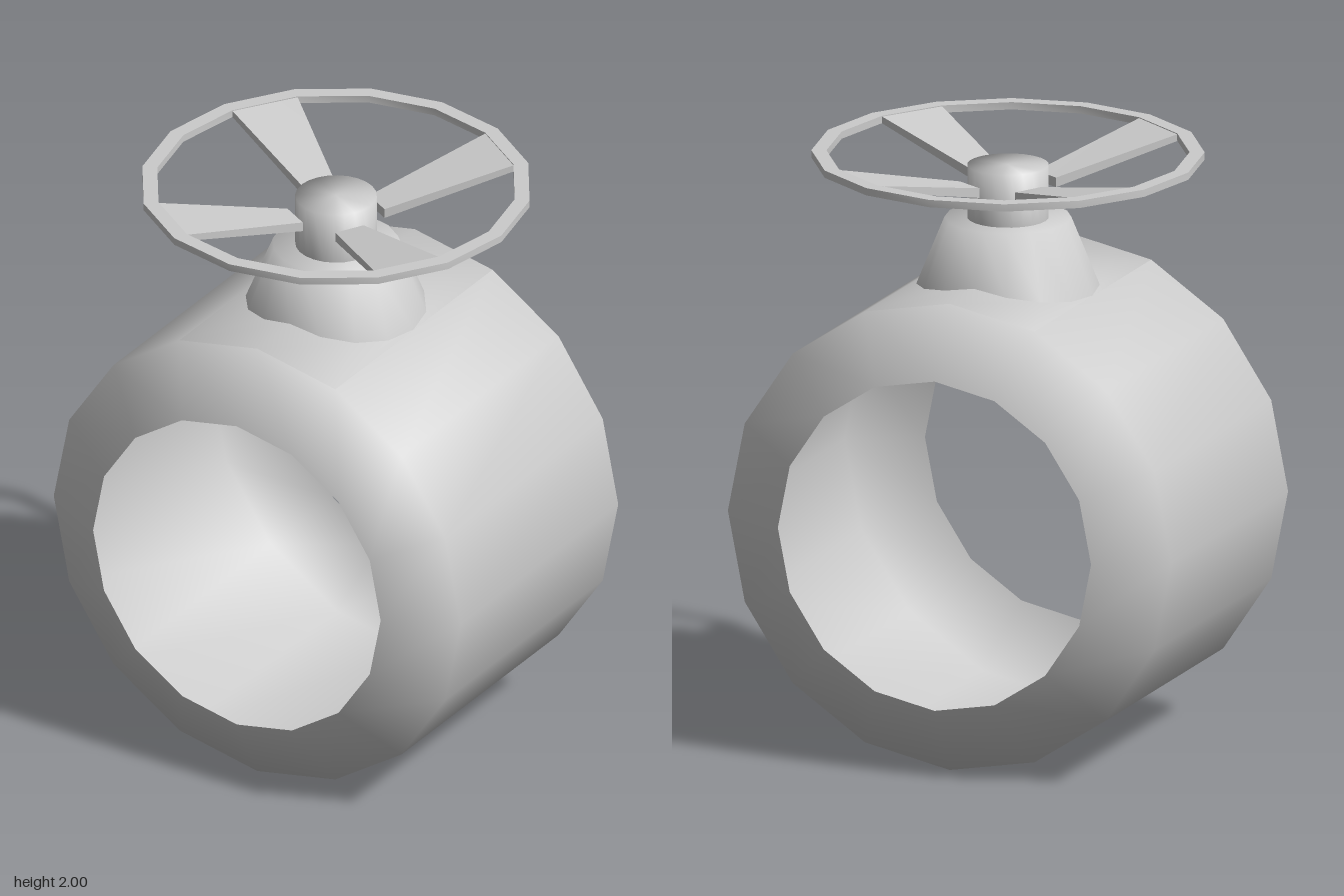
import * as THREE from 'three';
import { toCreasedNormals } from 'three/addons/utils/BufferGeometryUtils.js';

const SIDES = 16, R = 0.8, HALF = 0.48;
const material = new THREE.MeshStandardMaterial({ color: 0xcccccc, side: THREE.DoubleSide });

const lathe = (points, sides = SIDES) =>
  new THREE.LatheGeometry(points.map(([r, y]) => new THREE.Vector2(r, y)), sides);

// Top two facets of the barrel, and the neck's foot radius where it meets them
const EDGE = R * Math.sin(Math.PI / 8);
const SLOPE = R * (1 - Math.cos(Math.PI / 8)) / EDGE;
const facetY = x => 2 * R - SLOPE * Math.abs(x);
const footRadius = c => 0.2807 / (1 - 0.0804 * Math.abs(c));

// Open barrel with tapered ends, leaving out the two facets under the neck
function barrelGeometry() {
  const g = lathe([[0.565, -0.605], [R, -HALF], [R, HALF], [0.565, 0.605]]);
  g.rotateX(Math.PI / 2).translate(0, R, 0);
  const p = g.attributes.position, idx = g.index.array, kept = [];
  const onTop = i => p.getY(i) > 1.53 && Math.abs(p.getZ(i)) < HALF + 0.01;
  for (let i = 0; i < idx.length; i += 3) {
    const tri = [idx[i], idx[i + 1], idx[i + 2]];
    if (!tri.every(onTop)) kept.push(...tri);
  }
  g.setIndex(kept);
  return g;
}

// One top facet with half of the neck opening cut out of it
function facetGeometry(side) {
  const pts = [[0, -HALF], [EDGE, -HALF], [EDGE, HALF], [0, HALF]];
  for (let i = 0; i <= 8; i++) {
    const a = Math.PI / 2 - i * Math.PI / 8, r = footRadius(Math.cos(a));
    pts.push([r * Math.cos(a), r * Math.sin(a)]);
  }
  const g = new THREE.ShapeGeometry(new THREE.Shape(pts.map(([x, y]) => new THREE.Vector2(side * x, y))));
  const p = g.attributes.position, n = g.attributes.normal, v = new THREE.Vector3();
  for (let i = 0; i < p.count; i++) {
    const x = p.getX(i), z = -p.getY(i), y = facetY(x);
    p.setXYZ(i, x, y, z);
    // blend smoothly with the rest of the barrel
    v.set(x, y - R, 0).normalize().multiplyScalar(0.857);
    v.z = 0.515 * z / HALF;
    v.normalize();
    n.setXYZ(i, v.x, v.y, v.z);
  }
  return g;
}

// Conical neck whose foot follows the barrel
function neckGeometry() {
  const g = lathe([[0.2807, 1.6], [0.21, 1.775], [0, 1.775]]);
  const p = g.attributes.position;
  for (let i = 0; i < p.count; i++) {
    if (p.getY(i) > 1.7) continue;
    const k = footRadius(p.getX(i) / 0.2807) / 0.2807;
    const x = p.getX(i) * k;
    p.setXYZ(i, x, facetY(x), p.getZ(i) * k);
  }
  return g;
}

// Tapered spoke rising from the stem to one side of the rim
function spokeGeometry() {
  const g = new THREE.BoxGeometry(1, 1, 1), p = g.attributes.position;
  const angle = Math.PI / 8;
  for (let i = 0; i < p.count; i++) {
    const outer = p.getX(i) > 0, top = p.getY(i) > 0, right = p.getZ(i) > 0;
    if (outer) {
      const a = angle * (right ? 2 : 3);
      p.setXYZ(i, 0.605 * Math.cos(a), top ? 1.998 : 1.975, -0.605 * Math.sin(a));
    } else {
      p.setXYZ(i, right ? 0.136 : 0.043, top ? 1.903 : 1.87, right ? -0.085 : -0.136);
    }
  }
  g.computeVertexNormals();
  return g;
}

export function createModel() {
  const model = new THREE.Group();
  const add = (name, geometry, parent = model) => {
    const mesh = new THREE.Mesh(geometry, material);
    mesh.name = name;
    parent.add(mesh);
    return mesh;
  };

  // Pipe body
  const body = new THREE.Group();
  body.name = 'pipeBody';
  model.add(body);
  add('barrel', barrelGeometry(), body);
  add('leftTopFacet', facetGeometry(1), body);
  add('rightTopFacet', facetGeometry(-1), body);

  // Neck and stem
  add('neck', neckGeometry());
  add('stem', lathe([[0.135, 1.775], [0.135, 1.955], [0, 1.955]], 24));

  // Handwheel
  const wheel = new THREE.Group();
  wheel.name = 'handwheel';
  model.add(wheel);
  const rim = lathe([[0.6, 1.975], [0.65, 1.975], [0.65, 2], [0.6, 2], [0.6, 1.975]]);
  add('rim', toCreasedNormals(rim, Math.PI / 6), wheel);
  const spoke = spokeGeometry();
  for (let i = 0; i < 4; i++) add('spoke', spoke, wheel).rotation.y = i * Math.PI / 2;

  return model;
}
